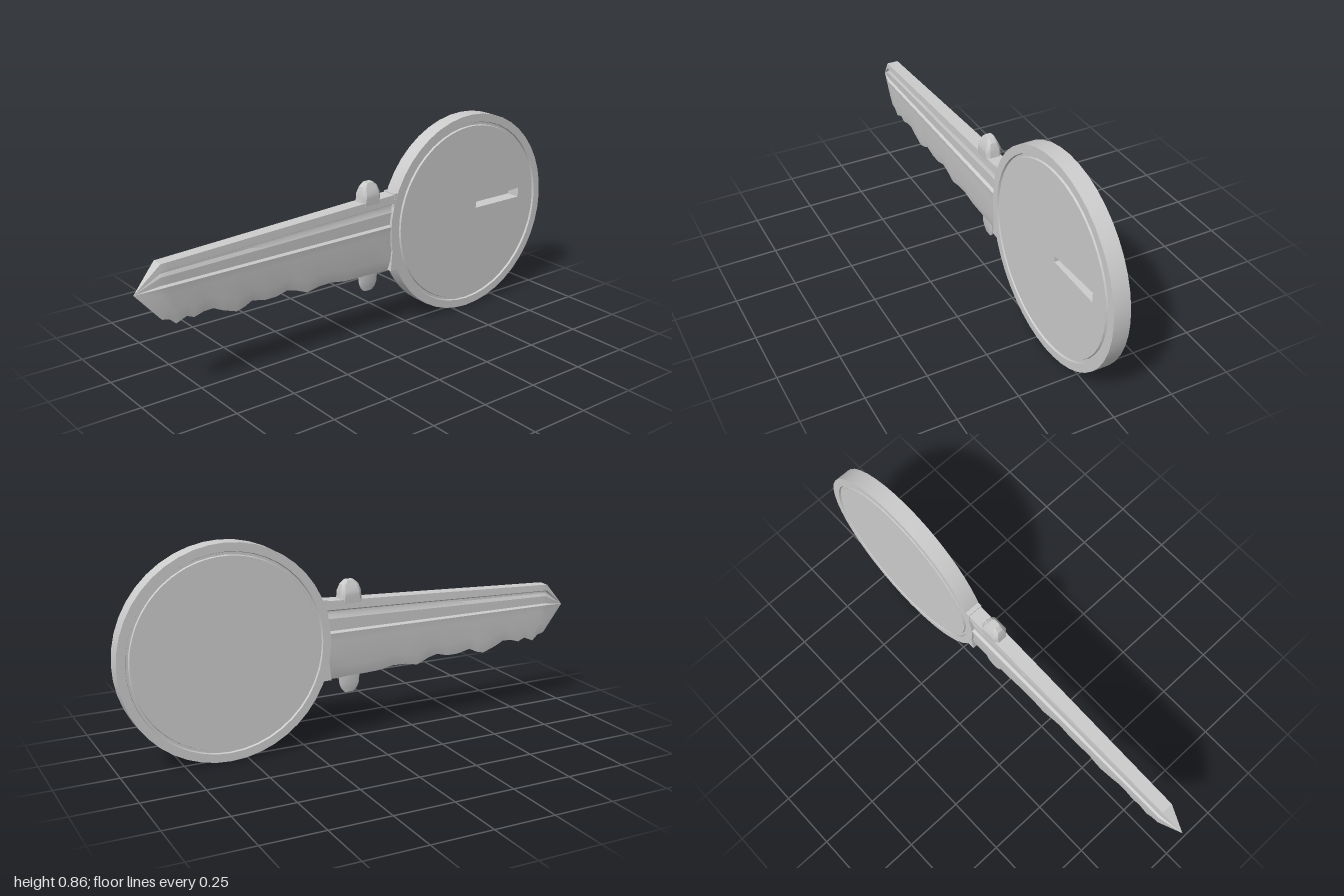
import * as THREE from 'three';
import { toCreasedNormals } from 'three/addons/utils/BufferGeometryUtils.js';

const material = new THREE.MeshStandardMaterial({ color: 0xcccccc });
const CY = 0.43, CU = 0.57; // bow centre: y and -z
const SEG = 44;

function addPart(group, name, geometry, crease = 0.5) {
  const mesh = new THREE.Mesh(toCreasedNormals(geometry, crease), material);
  mesh.name = name;
  group.add(mesh);
  return mesh;
}

// Skin a list of equal-length rings of [x, y, z] points
function loft(rings) {
  const n = rings[0].length, index = [];
  for (let i = 0; i < rings.length - 1; i++) {
    for (let j = 0; j < n; j++) {
      const k = (j + 1) % n;
      const a = i * n + j, b = i * n + k, c = b + n, d = a + n;
      index.push(a, b, c, a, c, d);
    }
  }
  const g = new THREE.BufferGeometry();
  g.setAttribute('position', new THREE.Float32BufferAttribute(rings.flat(2), 3));
  g.setIndex(index);
  return g;
}

// Extrude a side outline (u = -z, v = y) from x0 to x1
function sidePlate(shape, x0, x1) {
  const g = new THREE.ExtrudeGeometry(shape, { depth: x1 - x0, bevelEnabled: false, curveSegments: SEG });
  return g.rotateY(Math.PI / 2).translate(x0, 0, 0);
}

function bladeGeometry() {
  // z and lower edge height, following the cuts
  const cuts = [
    [-0.16, 0.262], [-0.05, 0.264], [0.08, 0.268], [0.15, 0.28], [0.21, 0.278], [0.265, 0.267],
    [0.32, 0.29], [0.36, 0.3], [0.41, 0.287], [0.46, 0.287], [0.52, 0.3], [0.555, 0.283],
    [0.59, 0.274], [0.65, 0.295], [0.69, 0.314], [0.73, 0.312], [0.77, 0.3], [0.8, 0.313],
    [0.845, 0.295], [0.87, 0.318], [0.9, 0.325],
  ];
  // half width, height at the bow end, height at the tip end
  const upper = [
    [0.031, 0.59, 0.542], [0.032, 0.553, 0.516], [0.016, 0.545, 0.51], [0.016, 0.532, 0.502],
    [0.023, 0.515, 0.489], [0.021, 0.464, 0.457], [0.032, 0.456, 0.45],
  ];
  const rings = cuts.map(([z, low]) => {
    const t = (z + 0.16) / 1.06, taper = 1 - 0.2 * t;
    const right = upper.map(([x, y0, y1]) => [x * taper, y0 + (y1 - y0) * t, z]);
    right.push([0.027 * taper, 0.42, z], [0.025 * taper, low + 0.05, z], [0.011, low, z]);
    const left = right.map(([x, y]) => [-x, y, z]);
    return [...right.reverse(), ...left];
  });
  rings.push(rings[0].map(() => [0, 0.44, 1]));
  return loft(rings);
}

// Rounded stop: levels of [y, half x, half z], closed at both ends
function stopGeometry(levels) {
  const rings = levels.map(([y, x, z]) => {
    const s = z * 0.7;
    return [[x, s], [x, -s], [x * 0.6, -z], [-x * 0.6, -z], [-x, -s], [-x, s], [-x * 0.6, z], [x * 0.6, z]]
      .map(([px, pz]) => [px, y, pz - 0.045]);
  });
  const close = (y) => rings[0].map(() => [0, y, -0.045]);
  return loft([close(levels[0][0]), ...rings, close(levels.at(-1)[0])]);
}

export function createModel() {
  const key = new THREE.Group();
  key.name = 'key';

  // Round bow: rim with a shallow ring groove on both faces
  const half = [[0.43, 0.034], [0.396, 0.034], [0.393, 0.026], [0.383, 0.026], [0.38, 0.034]];
  const profile = [...half.map(([r, x]) => [r, -x]).reverse(), ...half];
  const rim = new THREE.LatheGeometry(profile.map(([r, x]) => new THREE.Vector2(r, x)), SEG);
  rim.rotateZ(Math.PI / 2).translate(0, CY, -CU);
  addPart(key, 'bowRim', rim);

  // Bow disc with a tapered slot open on one face
  const disc = new THREE.Shape().absarc(CU, CY, 0.38, 0, Math.PI * 2);
  const slot = [[0.61, 0.444], [0.61, 0.47], [0.865, 0.486], [0.865, 0.444]];
  disc.holes.push(new THREE.Path(slot.map(([u, v]) => new THREE.Vector2(u, v))));
  addPart(key, 'bowDisc', sidePlate(disc, -0.026, 0.034));
  const backing = new THREE.Shape().absarc(CU, CY, 0.38, 0, Math.PI * 2);
  addPart(key, 'bowBacking', sidePlate(backing, -0.034, -0.026));

  // Neck joining the bow and the blade
  const neck = new THREE.Shape();
  neck.absarc(CU, CY, 0.41, Math.PI - 0.413, Math.PI + 0.413);
  neck.lineTo(0.14, 0.265);
  neck.lineTo(0.15, 0.37);
  neck.lineTo(0.155, 0.595);
  addPart(key, 'neck', sidePlate(neck, -0.033, 0.033));

  // Grooved blade with cut lower edge and pointed tip
  addPart(key, 'blade', bladeGeometry(), 0.4);

  // Stops above and below the blade
  addPart(key, 'upperStop', stopGeometry([
    [0.57, 0.031, 0.05], [0.6, 0.033, 0.045], [0.617, 0.033, 0.044], [0.645, 0.021, 0.035], [0.66, 0.015, 0.018],
  ]));
  addPart(key, 'lowerStop', stopGeometry([
    [0.195, 0.005, 0.02], [0.21, 0.007, 0.034], [0.23, 0.01, 0.041], [0.255, 0.011, 0.043], [0.28, 0.012, 0.05],
  ]));

  return key;
}
